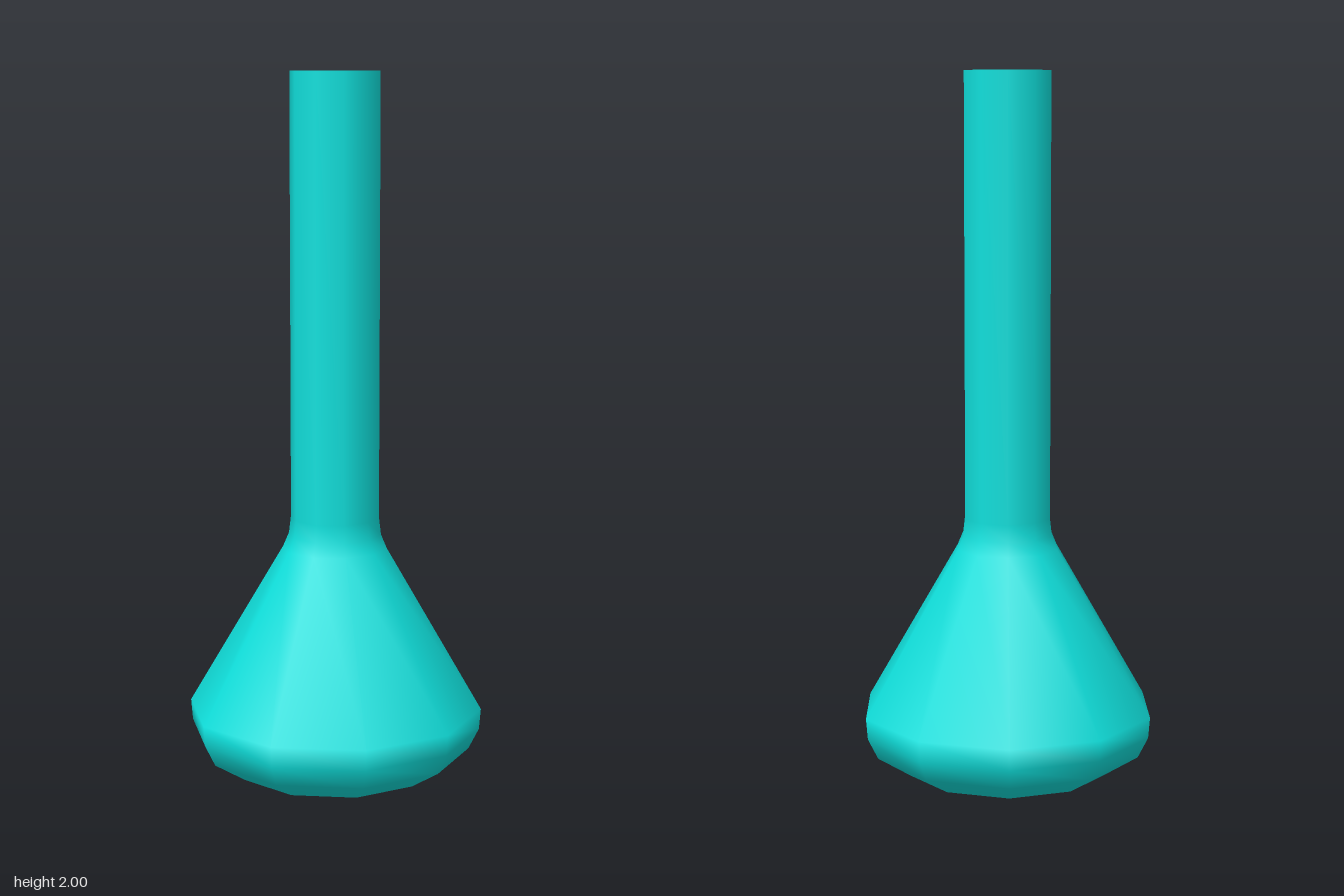
import * as THREE from 'three';

const SIDES = 10;

export function createModel() {
  const group = new THREE.Group();
  const glass = new THREE.MeshStandardMaterial({ color: 0x10e0dc });
  const fluid = new THREE.MeshStandardMaterial({ color: 0xd42edc });

  // Turns a profile of [radius, height] pairs into a ten-sided surface
  const turn = (name, profile, material) => {
    const points = profile.map(([r, y]) => new THREE.Vector2(r, y));
    const mesh = new THREE.Mesh(new THREE.LatheGeometry(points, SIDES), material);
    mesh.name = name;
    group.add(mesh);
  };

  // Flat underside
  turn('base', [[0, 0], [0.295, 0]], glass);

  // Rounded foot, conical body and straight neck
  turn('flaskBody', [
    [0.295, 0], [0.39, 0.06], [0.42, 0.12], [0.425, 0.18],
    [0.15, 0.65], [0.133, 0.69], [0.127, 0.74], [0.127, 2],
  ], glass);

  // Flat lip around the mouth
  turn('rim', [[0.127, 2], [0.107, 2]], glass);

  // Inner wall, facing inward
  turn('innerWall', [
    [0.107, 2], [0.107, 0.74], [0.113, 0.69], [0.13, 0.65],
    [0.4, 0.18], [0.395, 0.12], [0.37, 0.07], [0.285, 0.02],
  ], glass);
  turn('innerFloor', [[0.285, 0.02], [0, 0.02]], glass);

  // Liquid filling the lower body
  turn('liquid', [
    [0, 0.025], [0.28, 0.025], [0.365, 0.075], [0.39, 0.12],
    [0.395, 0.18], [0.263, 0.41],
  ], fluid);
  turn('liquidSurface', [[0.263, 0.41], [0, 0.41]], fluid);

  return group;
}
